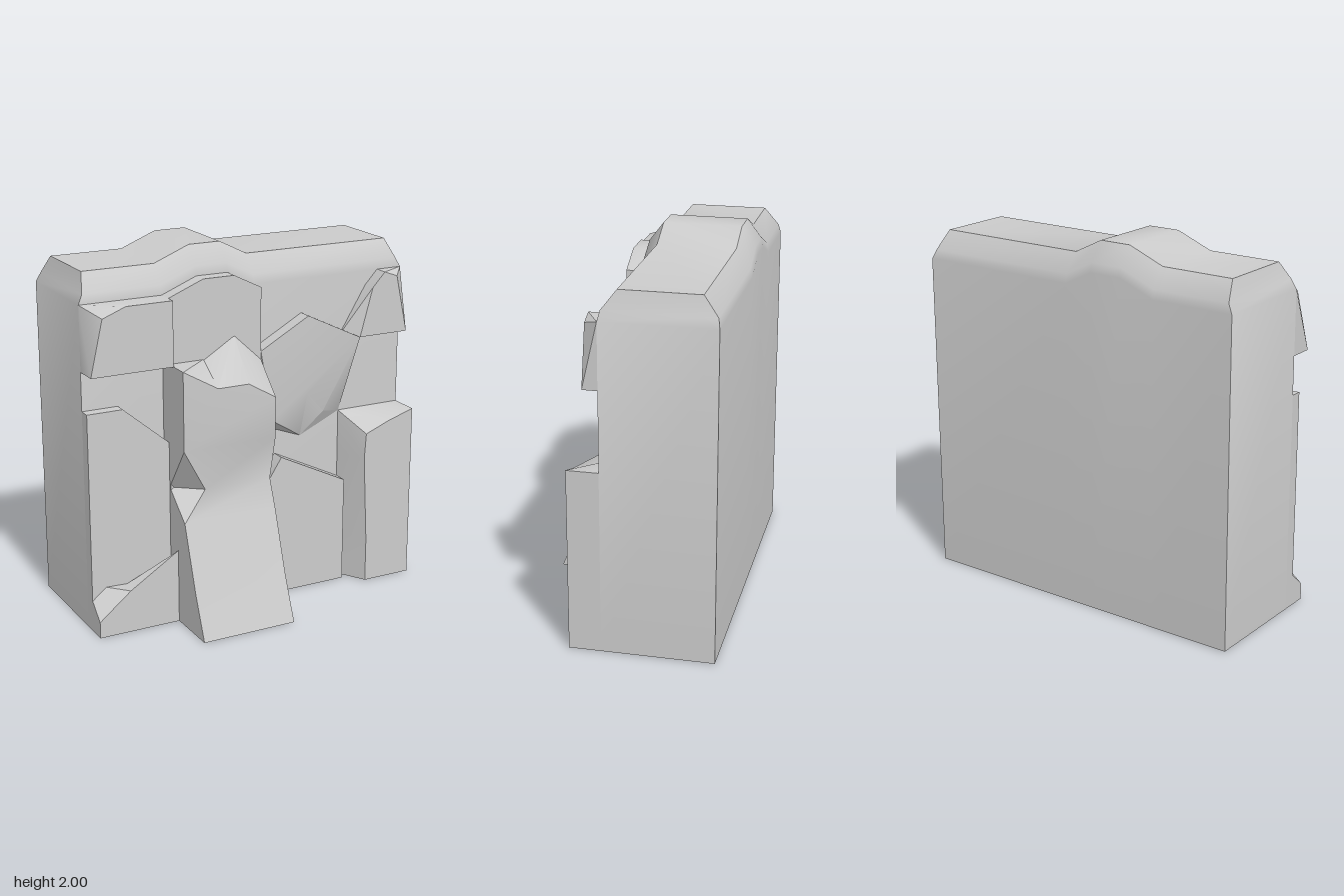
import * as THREE from 'three';
import { toCreasedNormals } from 'three/addons/utils/BufferGeometryUtils.js';

const material = new THREE.MeshStandardMaterial({ color: 0xcccccc, side: THREE.DoubleSide });
const WALL = 0.065; // depth of the cliff's front wall
const at = (points, z) => points.map(([x, y]) => new THREE.Vector3(x, y, z));
const v = (x, y, z) => new THREE.Vector3(x, y, z);

// Mesh from a list of triangles, softened only over shallow angles
function makeMesh(name, tris) {
  const geometry = new THREE.BufferGeometry().setFromPoints(tris.flat());
  const mesh = new THREE.Mesh(toCreasedNormals(geometry, 0.62), material);
  mesh.name = name;
  return mesh;
}

// Flat polygon, counter-clockwise as seen from +z
function cap(points) {
  const flat = points.map(p => new THREE.Vector2(p.x, p.y));
  return THREE.ShapeUtils.triangulateShape(flat, []).map(t => t.map(i => points[i]));
}

// Quad split along whichever diagonal bulges outward
function quad(a, b, c, d) {
  const n = b.clone().sub(a).cross(c.clone().sub(a));
  return n.dot(d.clone().sub(a)) <= 1e-9 ? [[a, b, c], [a, c, d]] : [[a, b, d], [b, c, d]];
}

// Rock slab: front outline joined to a back outline of equal count
function stone(name, front, zFront, back = front, zBack = WALL) {
  const f = at(front, zFront), b = at(back, zBack);
  const tris = cap(f);
  f.forEach((p, i) => {
    const j = (i + 1) % f.length;
    tris.push(...quad(p, b[i], b[j], f[j]));
  });
  return makeMesh(name, tris);
}

// Cliff block with a bevelled top and a low hump
function cliffBody() {
  const xs = [-0.96, -0.5, -0.3, -0.12, 0.04, 0.96];
  const hump = [0, 0, 0.08, 0.08, 0, 0];
  const ring = (y, dx, dz, lift) => {
    const row = z => xs.map((x, i) =>
      v(THREE.MathUtils.clamp(x, -0.96 + dx, 0.96 - dx), y + hump[i] * lift, z));
    return [...row(WALL - dz), ...row(-0.53 + dz).reverse()];
  };
  const rings = [ring(0, 0, 0, 0), ring(1.77, 0, 0, 1), ring(1.82, 0.025, 0.01, 1), ring(1.92, 0.055, 0.087, 1)];
  const tris = [];
  const n = xs.length * 2;
  for (let r = 0; r < 3; r++) {
    for (let i = 0; i < n; i++) {
      const j = (i + 1) % n;
      tris.push(...quad(rings[r][i], rings[r][j], rings[r + 1][j], rings[r + 1][i]));
    }
  }
  const top = rings[3], base = rings[0];
  for (let i = 0; i < xs.length - 1; i++) {
    const k = n - 1 - i;
    tris.push(...quad(top[i], top[i + 1], top[k - 1], top[k]));
    tris.push(...quad(base[i], base[k], base[k - 1], base[i + 1]));
  }
  return makeMesh('cliffBody', tris);
}

// Leaning buttress with a pinched waist and a sloping crown
function buttress() {
  const rows = [[0, 0.53, -0.5], [0.24, 0.43, -0.5], [0.59, 0.31, -0.5], [0.74, 0.25, -0.35], [0.99, 0.31, -0.5]];
  const L = rows.map(([y, z, x]) => v(x, y, z));
  const R = rows.map(([y, z]) => v(0.04, y, z));
  const lip = at([[-0.5, 1.42], [-0.3, 1.305], [-0.12, 1.305], [0.04, 1.21]], 0.31);
  const rear = at([[-0.5, 1.42], [-0.3, 1.42], [-0.12, 1.53], [0.04, 1.38]], 0.14);
  const tris = cap([L[4], R[4], ...[...lip].reverse()]);
  for (let i = 0; i < 3; i++) tris.push(...quad(lip[i], lip[i + 1], rear[i + 1], rear[i]));
  for (let i = 0; i < 4; i++) tris.push(...quad(L[i], R[i], R[i + 1], L[i + 1]));
  // Side walls back to the cliff
  const sides = [[[...L, lip[0]], 0.13, false], [[...R, lip[3]], WALL, true]];
  for (const [edge, z, right] of sides) {
    const x = right ? 0.04 : -0.5;
    const rearTop = right ? rear[3] : rear[0];
    for (let i = 0; i < edge.length - 1; i++) {
      const a = edge[i], b = edge[i + 1];
      const a2 = v(x, a.y, z);
      const b2 = i === edge.length - 2 ? v(x, rearTop.y, z) : v(x, b.y, z);
      tris.push(...(right ? quad(a, a2, b2, b) : quad(a2, a, b, b2)));
    }
  }
  // Underside
  tris.push(...quad(L[0], v(-0.5, 0, WALL), v(0.04, 0, WALL), R[0]));
  return makeMesh('buttress', tris);
}

export function createModel() {
  const group = new THREE.Group();
  group.name = 'rockCliff';
  group.add(cliffBody(), buttress());

  group.add(stone('upperMiddleStone',
    [[-0.5, 0], [0.04, 0], [0.04, 1.77], [-0.12, 1.85], [-0.3, 1.85], [-0.5, 1.77]], 0.145));

  // Stones on the -x side
  group.add(stone('upperRightStone',
    [[-0.96, 1.42], [-0.5, 1.42], [-0.5, 1.77], [-0.76, 1.77], [-0.89, 1.72]], 0.2,
    [[-0.96, 1.42], [-0.5, 1.42], [-0.5, 1.77], [-0.96, 1.77], [-0.96, 1.77]]));
  group.add(stone('lowerRightStone',
    [[-0.96, 0], [-0.5, 0], [-0.5, 0.99], [-0.76, 1.21], [-0.96, 1.21]], 0.13));
  group.add(stone('rightFooting',
    [[-0.96, 0], [-0.5, 0], [-0.5, 0.41], [-0.78, 0.235], [-0.88, 0.155], [-0.96, 0.09]], 0.225,
    [[-0.96, 0], [-0.5, 0], [-0.5, 0.3], [-0.76, 0.235], [-0.88, 0.24], [-0.96, 0.175]], 0.13));

  // Stones on the +x side
  group.add(stone('hangingStone',
    [[0.11, 1.02], [0.33, 1.14], [0.43, 1.03], [0.66, 1.42], [0.33, 1.58], [0.04, 1.42]], 0.145,
    [[0.04, 0.99], [0.33, 0.88], [0.575, 0.99], [0.66, 1.42], [0.33, 1.58], [0.04, 1.42]]));
  group.add(stone('lowerMiddleStone',
    [[0.04, 0], [0.575, 0], [0.575, 0.6], [0.17, 0.8], [0.04, 0.6]], 0.145));
  group.add(stone('upperLeftStone',
    [[0.66, 1.42], [0.96, 1.42], [0.89, 1.74], [0.81, 1.77], [0.735, 1.69]], 0.145,
    [[0.57, 1.42], [0.96, 1.42], [0.96, 1.77], [0.81, 1.77], [0.735, 1.69]]));
  group.add(stone('lowerLeftStone',
    [[0.675, 0], [0.96, 0], [0.96, 0.99], [0.8, 0.94], [0.66, 0.885], [0.65, 0.74], [0.675, 0.25]], 0.235,
    [[0.575, 0], [0.96, 0], [0.96, 0.99], [0.8, 0.99], [0.575, 0.99], [0.575, 0.74], [0.575, 0.25]]));
  return group;
}
